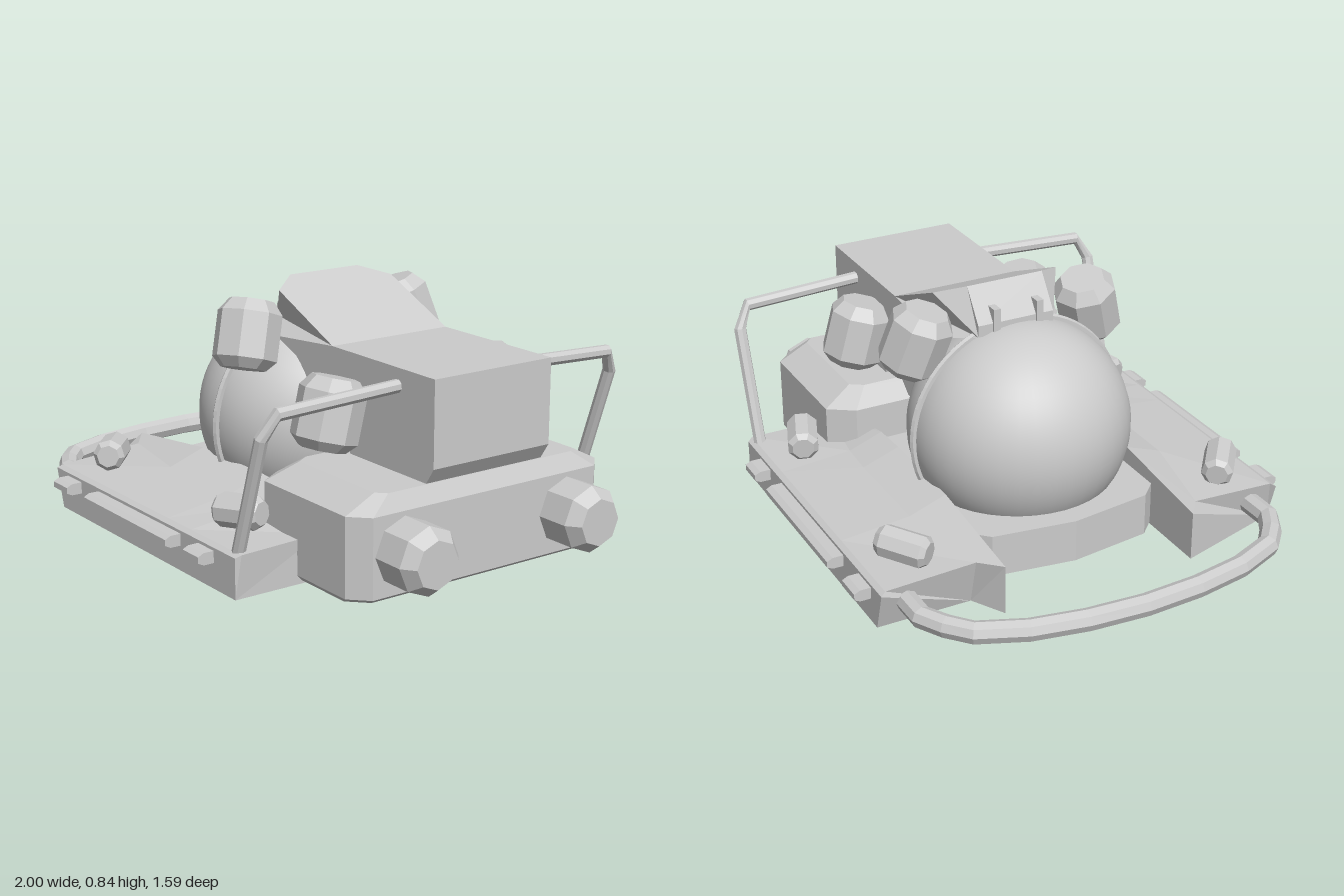
import * as THREE from 'three';

const flat = new THREE.MeshStandardMaterial({ color: 0xcccccc, flatShading: true, side: THREE.DoubleSide });
const smooth = new THREE.MeshStandardMaterial({ color: 0xcccccc });

// Closed loft through equal-length loops of [x, y, z] points
function loft(loops) {
  const n = loops[0].length, index = [];
  const last = (loops.length - 1) * n;
  for (let i = 0; i < loops.length - 1; i++) {
    for (let j = 0; j < n; j++) {
      const a = i * n + j, b = i * n + (j + 1) % n;
      index.push(a, a + n, b + n, a, b + n, b);
    }
  }
  for (let j = 1; j < n - 1; j++) index.push(0, j, j + 1, last, last + j + 1, last + j);
  const geo = new THREE.BufferGeometry();
  geo.setAttribute('position', new THREE.Float32BufferAttribute(loops.flat(2), 3));
  geo.setIndex(index);
  const out = geo.toNonIndexed();
  out.computeVertexNormals();
  return out;
}

// Straight runs joined by mitred corners
class Polyline extends THREE.Curve {
  constructor(points) {
    super();
    this.points = points.map((p) => new THREE.Vector3(...p));
  }
  getPoint(t, target = new THREE.Vector3()) {
    const s = t * (this.points.length - 1);
    const i = Math.min(Math.floor(s + 1e-6), this.points.length - 2);
    return target.lerpVectors(this.points[i], this.points[i + 1], s - i);
  }
  getPointAt(t, target) { return this.getPoint(t, target); }
  getTangentAt(t, target) { return this.getTangent(t, target); }
}
const pipe = (points, r) => new THREE.TubeGeometry(new Polyline(points), points.length - 1, r, 8);

// Eight-sided thruster with bevelled ends, along y
function thruster(r, length) {
  const h = length / 2, b = r * 0.3;
  const profile = [[0, -h], [r - b, -h], [r, b - h], [r, h - b * 1.3], [r - b, h], [0, h]];
  return new THREE.LatheGeometry(profile.map((p) => new THREE.Vector2(...p)), 8);
}

// Side profile extruded across z
function slab(profile, halfWidth) {
  const shape = new THREE.Shape(profile.map((p) => new THREE.Vector2(...p)));
  return new THREE.ExtrudeGeometry(shape, { depth: halfWidth * 2, bevelEnabled: false })
    .translate(0, 0, -halfWidth);
}

export function createModel() {
  const model = new THREE.Group();
  const add = (name, geo, pos = [0, 0, 0], mat = flat) => {
    const mesh = new THREE.Mesh(geo, mat);
    mesh.name = name;
    mesh.position.set(...pos);
    model.add(mesh);
    return mesh;
  };
  const aim = (mesh, dir) => mesh.quaternion.setFromUnitVectors(
    new THREE.Vector3(0, 1, 0), new THREE.Vector3(...dir).normalize());

  // Cabin sphere, seam and hinges
  add('cabinSphere', new THREE.SphereGeometry(0.37, 40, 24, 0, Math.PI * 2, 0, Math.PI * 0.68)
    .scale(1, 1, 1.04), [-0.13, 0.343, 0], smooth);
  const seam = add('cabinSeam', new THREE.TorusGeometry(0.375, 0.012, 6, 40, Math.PI * 1.3)
    .rotateZ(-Math.PI * 0.15).rotateY(Math.PI / 2).scale(1, 1, 1.04), [-0.117, 0.343, 0]);
  seam.rotation.z = -0.04;
  for (const z of [-0.085, 0.075]) add('hinge', new THREE.BoxGeometry(0.045, 0.1, 0.025), [-0.115, 0.73, z]);

  // Floor around the cabin
  const floor = (y) => [[0.4, y, 0.36], [-0.42, y, 0.36], [-0.49, y, 0.29], [-0.53, y, 0],
    [-0.49, y, -0.29], [-0.42, y, -0.36], [0.4, y, -0.36]];
  add('cabinFloor', loft([floor(0.01), floor(0.16)]));

  // Rear block with bevelled corners
  const footprint = (y, x0, x1, w, c) => [[x1, y, w - c], [x1 - c, y, w], [x0 + c, y, w], [x0, y, w - c * 1.5],
    [x0, y, c * 1.5 - w], [x0 + c, y, -w], [x1 - c, y, -w], [x1, y, c - w]];
  add('rearBlock', loft([footprint(0.01, 0.29, 0.81, 0.49, 0.06), footprint(0.03, 0.29, 0.84, 0.508, 0.06),
    footprint(0.292, 0.29, 0.84, 0.508, 0.06), footprint(0.347, 0.36, 0.81, 0.4, 0.03)]));

  // Upper housing, its nose narrowed, and the neck behind the cabin
  const housing = slab([[-0.13, 0.69], [0, 0.655], [0.3, 0.54], [0.38, 0.47], [0.42, 0.34], [0.8, 0.34],
    [0.84, 0.4], [0.84, 0.682], [0.32, 0.682], [0.02, 0.812], [-0.05, 0.843], [-0.13, 0.73]], 0.233);
  const p = housing.attributes.position;
  for (let i = 0; i < p.count; i++) if (p.getX(i) < -0.04) p.setZ(i, p.getZ(i) * 0.6);
  add('upperHousing', housing, [0, 0, -0.012]);
  add('neck', slab([[0, 0.66], [0.05, 0.3], [0.42, 0.3], [0.42, 0.35], [0.38, 0.47], [0.3, 0.54]], 0.2),
    [0, 0, -0.012]);

  // Front bumper
  const half = [[-0.56, 0.645], [-0.7, 0.645], [-0.78, 0.6], [-0.85, 0.54], [-0.915, 0.385], [-0.95, 0.2]];
  const arc = [...half, [-0.963, 0], ...half.map(([x, z]) => [x, -z]).reverse()];
  add('frontBumper', pipe(arc.map(([x, z]) => [x, 0.087, z]), 0.037));

  for (const s of [1, -1]) {
    // Side pontoon: cross-sections from front to rear
    const section = (xs, yMid, yIn, zMid) => {
      const loop = [[xs[0], 0, 0.738], [xs[1], 0.135, 0.738], [xs[1] + 0.01, 0.145, 0.72], [xs[1], yMid, zMid],
        [xs[2], yIn, 0.348], [xs[2], 0.003, 0.348], [xs[0], 0, 0.41]].map(([x, y, z]) => [x, y, z * s]);
      return s > 0 ? loop : loop.reverse();
    };
    const at = (x) => [x, x, x];
    add('pontoon', loft([
      section([-0.57, -0.61, -0.69], 0.165, 0.175, 0.41),
      section(at(-0.27), 0.175, 0.222, 0.48),
      section(at(0.1), 0.175, 0.222, 0.48),
      section(at(0.24), 0.17, 0.215, 0.47),
      section(at(0.53), 0.15, 0.155, 0.42),
    ]));

    // Side rails
    for (const [x0, x1] of [[-0.53, -0.435], [-0.315, 0.215], [0.32, 0.41]]) {
      const ring = (x) => {
        const loop = [[x, 0.085, 0.72], [x, 0.085, 0.775], [x, 0.095, 0.795], [x, 0.115, 0.795],
          [x, 0.125, 0.775], [x, 0.125, 0.72]].map(([a, y, z]) => [a, y, z * s]);
        return s > 0 ? loop : loop.reverse();
      };
      add('sideRail', loft([ring(x0), ring(x1)]));
    }

    // Bent handrail
    add('handrail', pipe([[0.49, 0.11, 0.705 * s], [0.63, 0.53, 0.705 * s], [0.655, 0.605, 0.665 * s],
      [0.66, 0.625, 0.2 * s]], 0.022));

    // Large thrusters
    aim(add('rearThruster', thruster(0.112, 0.22), [0.89, 0.165, 0.328 * s]), [1, 0, 0]);
    aim(add('upperThruster', thruster(0.11, 0.23), [-0.015, 0.67, 0.325 * s]), [-0.2, 1, -0.3 * s]);
    aim(add('middleThruster', thruster(0.11, 0.23), [0.458, 0.51, 0.335 * s]), [-0.03, 1, -0.27 * s]);

    // Small thrusters on the pontoons
    aim(add('frontSmallThruster', thruster(0.055, 0.18), [-0.47, 0.203, 0.595 * s]), [0.78, 0.08, 0.62 * s]);
    aim(add('rearSmallThruster', thruster(0.056, 0.17), [0.35, 0.21, 0.6 * s]), [0.93, 0.08, -0.35 * s]);
  }
  return model;
}
